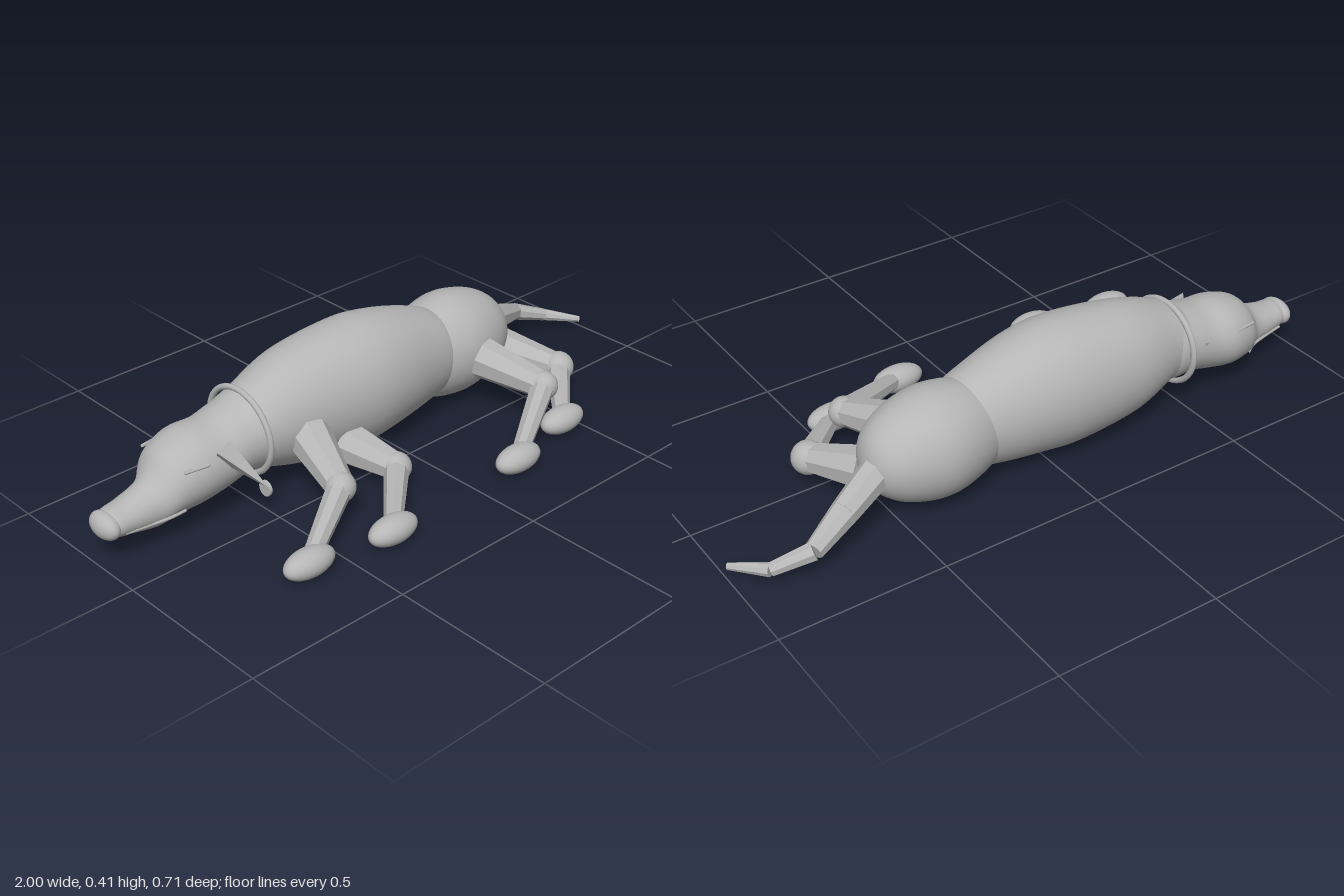
import * as THREE from 'three';

export function createModel() {
  const root = new THREE.Group();
  root.name = 'sleepingDog';
  const grey = new THREE.MeshStandardMaterial({ color: 0xb6b6b6 });
  grey.name = 'plain grey';
  const V = (p) => new THREE.Vector3(...p);

  function add(name, geometry, pos = [0, 0, 0], parent = root) {
    const mesh = new THREE.Mesh(geometry, grey);
    mesh.name = name;
    mesh.position.set(...pos);
    parent.add(mesh);
    return mesh;
  }

  // Smooth skin through elliptical sections [x, centreY, centreZ, radiusY, radiusZ]
  function loft(name, sections) {
    const spline = (f) => new THREE.CatmullRomCurve3(sections.map(f), false, 'catmullrom', 0.5);
    const centres = spline((s) => new THREE.Vector3(s[0], s[1], s[2]));
    const radii = spline((s) => new THREE.Vector3(s[0], s[3], s[4]));
    const rows = (sections.length - 1) * 5, sides = 40;
    const pos = [], index = [];
    for (let i = 0; i <= rows; i++) {
      const c = centres.getPoint(i / rows), r = radii.getPoint(i / rows);
      for (let j = 0; j < sides; j++) {
        const a = (j / sides) * Math.PI * 2;
        pos.push(c.x, c.y + Math.max(r.y, 0) * Math.cos(a), c.z + Math.max(r.z, 0) * Math.sin(a));
        if (i < rows) {
          const k = (j + 1) % sides, p = i * sides, q = p + sides;
          index.push(p + j, p + k, q + j, p + k, q + k, q + j);
        }
      }
    }
    const g = new THREE.BufferGeometry();
    g.setAttribute('position', new THREE.Float32BufferAttribute(pos, 3));
    g.setIndex(index);
    g.computeVertexNormals();
    return add(name, g);
  }

  function ellipsoid(name, pos, r, parent = root) {
    return add(name, new THREE.SphereGeometry(1, 28, 18).scale(...r), pos, parent);
  }

  // Faceted tapered limb between two points
  function limb(name, from, to, r0, r1, parent = root, sides = 8) {
    const a = V(from), b = V(to), d = b.clone().sub(a);
    const g = new THREE.CylinderGeometry(r1, r0, d.length(), sides).toNonIndexed();
    g.computeVertexNormals();
    const mesh = add(name, g, a.add(b).multiplyScalar(0.5).toArray(), parent);
    mesh.quaternion.setFromUnitVectors(new THREE.Vector3(0, 1, 0), d.normalize());
    return mesh;
  }

  // Body
  loft('torso', [
    [-0.56, 0.20, -0.19, 0.06, 0.07],
    [-0.52, 0.205, -0.185, 0.10, 0.11],
    [-0.45, 0.21, -0.18, 0.13, 0.125],
    [-0.30, 0.21, -0.19, 0.178, 0.156],
    [-0.10, 0.21, -0.187, 0.20, 0.173],
    [0.03, 0.21, -0.187, 0.19, 0.165],
    [0.17, 0.20, -0.19, 0.163, 0.139],
    [0.28, 0.19, -0.19, 0.125, 0.11],
    [0.36, 0.19, -0.19, 0.04, 0.04]]);
  loft('hips', [
    [0.12, 0.18, -0.20, 0.03, 0.03],
    [0.16, 0.18, -0.20, 0.10, 0.09],
    [0.24, 0.18, -0.20, 0.147, 0.132],
    [0.35, 0.18, -0.204, 0.165, 0.155],
    [0.45, 0.18, -0.206, 0.147, 0.138],
    [0.52, 0.18, -0.207, 0.11, 0.105],
    [0.56, 0.18, -0.208, 0.062, 0.06],
    [0.575, 0.18, -0.208, 0.001, 0.001]]);

  // Head, tapering into the snout
  loft('head', [
    [-0.985, 0.12, -0.155, 0.001, 0.001],
    [-0.96, 0.12, -0.155, 0.036, 0.048],
    [-0.90, 0.117, -0.16, 0.05, 0.058],
    [-0.82, 0.122, -0.165, 0.072, 0.07],
    [-0.76, 0.155, -0.18, 0.098, 0.105],
    [-0.68, 0.17, -0.188, 0.112, 0.122],
    [-0.60, 0.178, -0.185, 0.108, 0.117],
    [-0.53, 0.195, -0.185, 0.108, 0.118],
    [-0.44, 0.205, -0.185, 0.118, 0.115],
    [-0.40, 0.205, -0.185, 0.04, 0.04]]);
  ellipsoid('nose', [-0.967, 0.119, -0.155], [0.033, 0.039, 0.058]);

  // Closed eyes and mouth line, one on each side of the head
  for (const [side, s, cz] of [['left', 1, -0.186], ['right', -1, -0.186]]) {
    const eye = add(side + 'Eye', new THREE.CapsuleGeometry(0.005, 0.07, 3, 8), [-0.71, 0.216, cz + s * 0.104]);
    eye.rotation.set(0, s * -0.15, Math.PI / 2);
    const lip = new THREE.CatmullRomCurve3([
      [-0.935, 0.097, -0.16 + s * 0.048], [-0.86, 0.093, -0.163 + s * 0.058],
      [-0.80, 0.095, -0.167 + s * 0.073], [-0.75, 0.098, -0.182 + s * 0.09]].map(V));
    add(side + 'MouthLine', new THREE.TubeGeometry(lip, 20, 0.005, 6), [0, 0, 0]);
  }

  // Ears: one flopped forward, the other lying against the head
  const ear = limb('frontEar', [-0.61, 0.228, -0.10], [-0.553, 0.137, 0.026], 0.055, 0.001, root, 4);
  ear.scale.z = 0.6;
  const backEar = add('backEar', new THREE.ConeGeometry(0.03, 0.07, 4), [-0.58, 0.215, -0.275]);
  backEar.rotation.z = Math.PI / 2;

  // Collar and tag
  const collar = add('collar', new THREE.TorusGeometry(0.128, 0.009, 10, 48), [-0.48, 0.202, -0.188]);
  collar.rotation.y = Math.PI / 2;
  collar.scale.x = 1.07;
  const tag = add('collarTag', new THREE.CylinderGeometry(0.024, 0.024, 0.01, 20), [-0.49, 0.065, -0.07]);
  tag.rotation.set(0.6, 0, Math.PI / 2);

  // Legs: [name, shoulder or hip, joint, paw, joint radius]
  const legs = [
    ['upperFrontLeg', [-0.335, 0.178, -0.06], [-0.385, 0.115, 0.128], [-0.62, 0.047, 0.268], 0.045],
    ['lowerFrontLeg', [-0.195, 0.10, -0.06], [-0.147, 0.066, 0.10], [-0.352, 0.046, 0.305], 0.045],
    ['upperHindLeg', [0.375, 0.165, -0.07], [0.44, 0.12, 0.128], [0.165, 0.047, 0.285], 0.046],
    ['lowerHindLeg', [0.525, 0.12, -0.145], [0.612, 0.085, 0.035], [0.428, 0.046, 0.22], 0.05]];
  for (const [name, top, joint, paw, r] of legs) {
    const leg = new THREE.Group();
    leg.name = name;
    root.add(leg);
    limb('upperLeg', top, joint, 0.066, 0.042, leg);
    ellipsoid('joint', joint, [r, r, r], leg);
    limb('lowerLeg', joint, paw, 0.038, 0.025, leg);
    ellipsoid('paw', paw, [0.083, 0.041, 0.045], leg);
  }

  // Tail: tapering segments curling at the tip
  const tail = new THREE.Group();
  tail.name = 'tail';
  root.add(tail);
  const path = [
    [0.53, 0.175, -0.225, 0.05], [0.68, 0.125, -0.285, 0.04], [0.80, 0.083, -0.332, 0.028],
    [0.91, 0.047, -0.295, 0.02], [0.99, 0.035, -0.205, 0.01]];
  for (let i = 0; i < path.length - 1; i++) {
    const a = path[i], b = path[i + 1];
    limb('tailSegment', a.slice(0, 3), b.slice(0, 3), a[3], b[3], tail);
  }
  return root;
}
